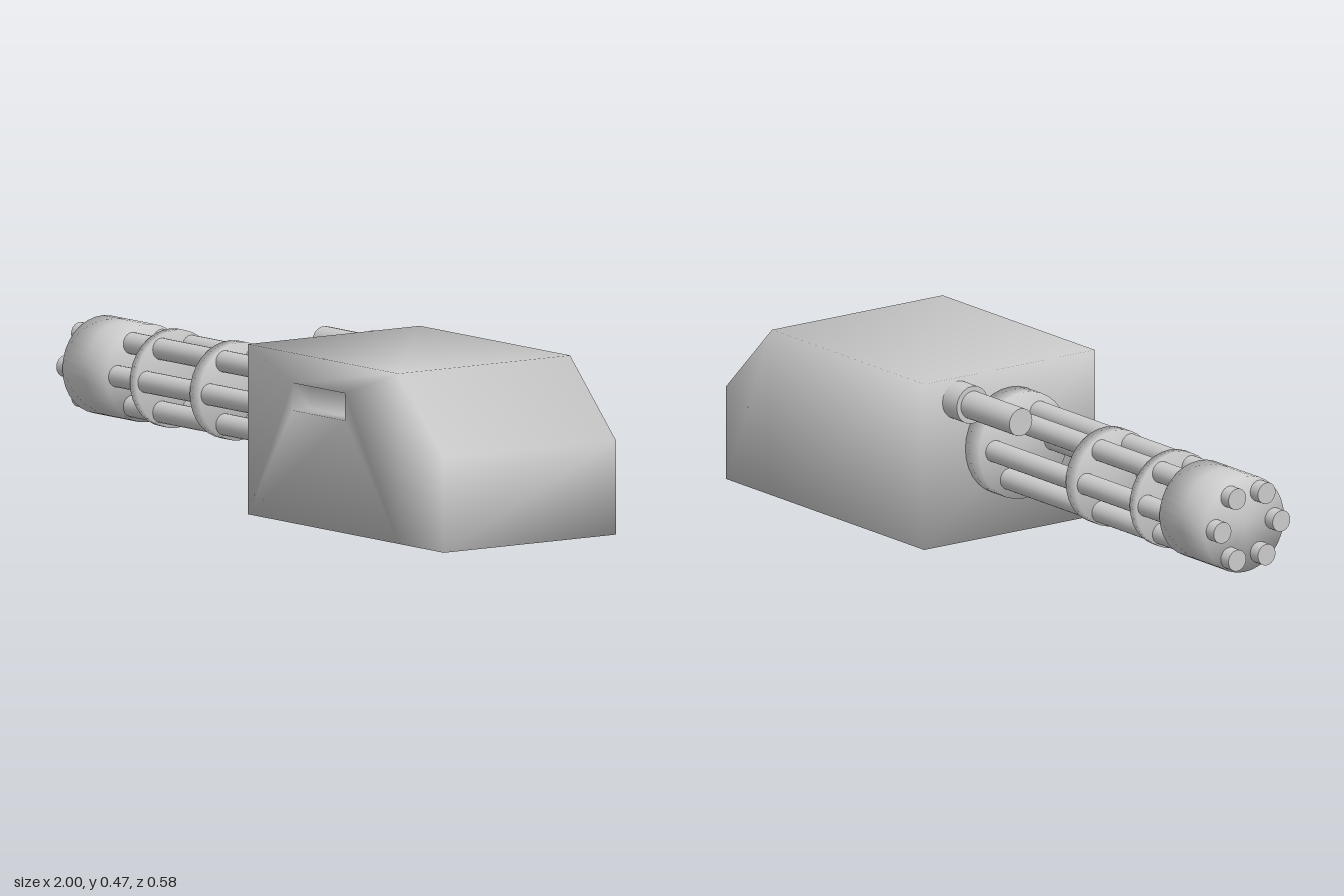
import * as THREE from 'three';
import { mergeVertices } from 'three/addons/utils/BufferGeometryUtils.js';

const material = new THREE.MeshStandardMaterial({ color: 0xcccccc });
const AXIS_Y = 0.262;

// Share vertices across edges so shading rolls over the rims
function soften(geometry) {
  geometry.deleteAttribute('normal');
  geometry.deleteAttribute('uv');
  const merged = mergeVertices(geometry, 1e-4);
  merged.computeVertexNormals();
  return merged;
}

// Cylinder lying along x from x0 to x1
function rod(name, x0, x1, radius, y, z, { sides = 20, rows = 1, soft = false } = {}) {
  let geometry = new THREE.CylinderGeometry(radius, radius, x1 - x0, sides, rows);
  geometry.rotateZ(Math.PI / 2);
  if (soft) geometry = soften(geometry);
  const mesh = new THREE.Mesh(geometry, material);
  mesh.name = name;
  mesh.position.set((x0 + x1) / 2, y, z);
  return mesh;
}

// Housing: box with a cut rear corner and a slot sunk into the front side
function housing() {
  const halfDepth = 0.29, slotDepth = 0.06;
  const outline = [[0.1, 0], [0.79, 0], [1, 0], [1, 0.26], [0.79, 0.468], [0.1, 0.468]];
  const slot = [[0.305, 0.31], [0.545, 0.31], [0.545, 0.385], [0.305, 0.385]];
  const positions = [], index = [];
  const loop = (points, z) => points.forEach(([x, y]) => positions.push(x, y, z));
  const quad = (a, b, c, d) => index.push(a, b, c, a, c, d);

  loop(outline, halfDepth);            // 0-5
  loop(outline, -halfDepth);           // 6-11
  loop(slot, halfDepth);               // 12-15
  loop(slot, halfDepth - slotDepth);   // 16-19

  // Outer walls
  for (let i = 0; i < 6; i++) {
    const j = (i + 1) % 6;
    quad(i, i + 6, j + 6, j);
  }
  // Front side around the slot, and the slot walls
  const frame = [0, 1, 4, 5];
  for (let k = 0; k < 4; k++) {
    const n = (k + 1) % 4;
    if (k === 3) quad(frame[n], 12 + n, 12 + k, frame[k]);
    else quad(frame[k], frame[n], 12 + n, 12 + k);
    quad(12 + k, 12 + n, 16 + n, 16 + k);
  }
  quad(16, 17, 18, 19);
  quad(1, 2, 3, 4);
  // Back side
  quad(7, 6, 11, 10);
  quad(8, 7, 10, 9);

  const geometry = new THREE.BufferGeometry();
  geometry.setAttribute('position', new THREE.Float32BufferAttribute(positions, 3));
  geometry.setIndex(index);
  geometry.computeVertexNormals();
  const mesh = new THREE.Mesh(geometry, material);
  mesh.name = 'housing';
  return mesh;
}

export function createModel() {
  const model = new THREE.Group();
  model.name = 'rotaryGun';
  model.add(housing());

  // Six barrels in a ring
  const barrels = new THREE.Group();
  barrels.name = 'barrels';
  for (let i = 0; i < 6; i++) {
    const a = (i * Math.PI) / 3;
    barrels.add(rod('barrel', -1, 0.1, 0.03, AXIS_Y + 0.1 * Math.sin(a), 0.1 * Math.cos(a)));
  }
  model.add(barrels);

  // Clamps and plates holding the barrels
  const round = { sides: 32, soft: true };
  model.add(
    rod('muzzleClamp', -0.965, -0.76, 0.135, AXIS_Y, 0, { ...round, rows: 2 }),
    rod('frontPlate', -0.655, -0.625, 0.135, AXIS_Y, 0, round),
    rod('middlePlate', -0.38, -0.335, 0.135, AXIS_Y, 0, round),
    rod('rearPlate', 0.035, 0.1, 0.15, AXIS_Y, 0, round)
  );

  // Side tube and its collar
  model.add(
    rod('sideTube', -0.185, 0.1, 0.039, 0.405, -0.175),
    rod('sideTubeCollar', 0.035, 0.1, 0.053, 0.405, -0.175)
  );
  return model;
}
